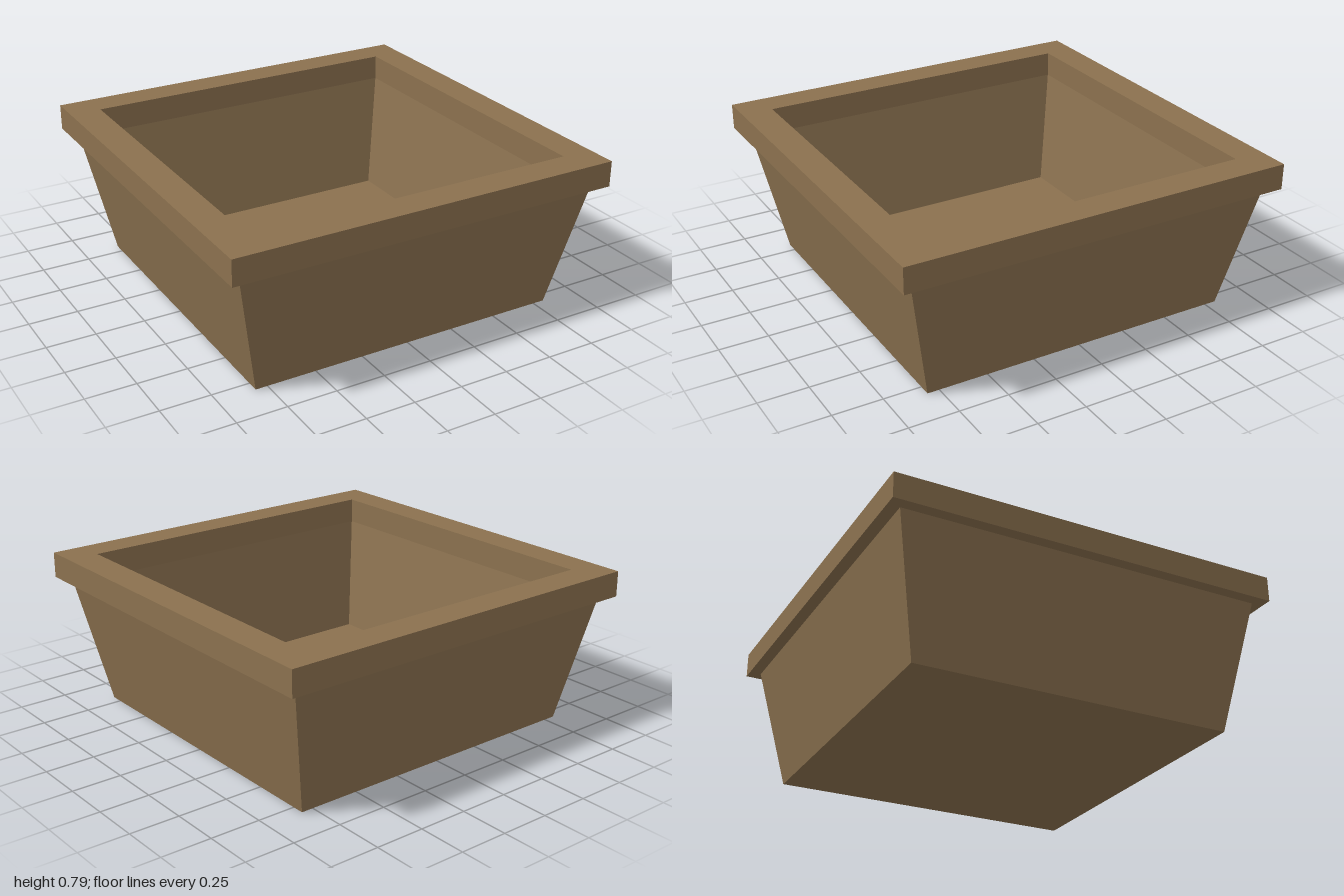
import * as THREE from 'three';

// Square-plan solid of [half-width, height] profile points, with flat faces
function squareLathe(profile) {
  const points = profile.map(([w, y]) => new THREE.Vector2(w * Math.SQRT2, y));
  const geometry = new THREE.LatheGeometry(points, 4, Math.PI / 4).toNonIndexed();
  geometry.computeVertexNormals();
  return geometry;
}

export function createModel() {
  const model = new THREE.Group();
  model.name = 'squarePlanter';

  const brown = new THREE.MeshStandardMaterial({ color: 0x8b714f });
  brown.name = 'brown';

  const addPart = (name, profile) => {
    const mesh = new THREE.Mesh(squareLathe(profile), brown);
    mesh.name = name;
    model.add(mesh);
  };

  // Tapered tub: underside and outer walls, then inner walls and floor
  addPart('outerTub', [[0, 0], [0.81, 0], [0.94, 0.66]]);
  addPart('innerTub', [[0.84, 0.66], [0.74, 0.07], [0, 0.07]]);

  // Overhanging rim with upright sides
  addPart('rim', [[0.94, 0.66], [1, 0.66], [1, 0.79], [0.84, 0.79], [0.84, 0.66]]);

  return model;
}
